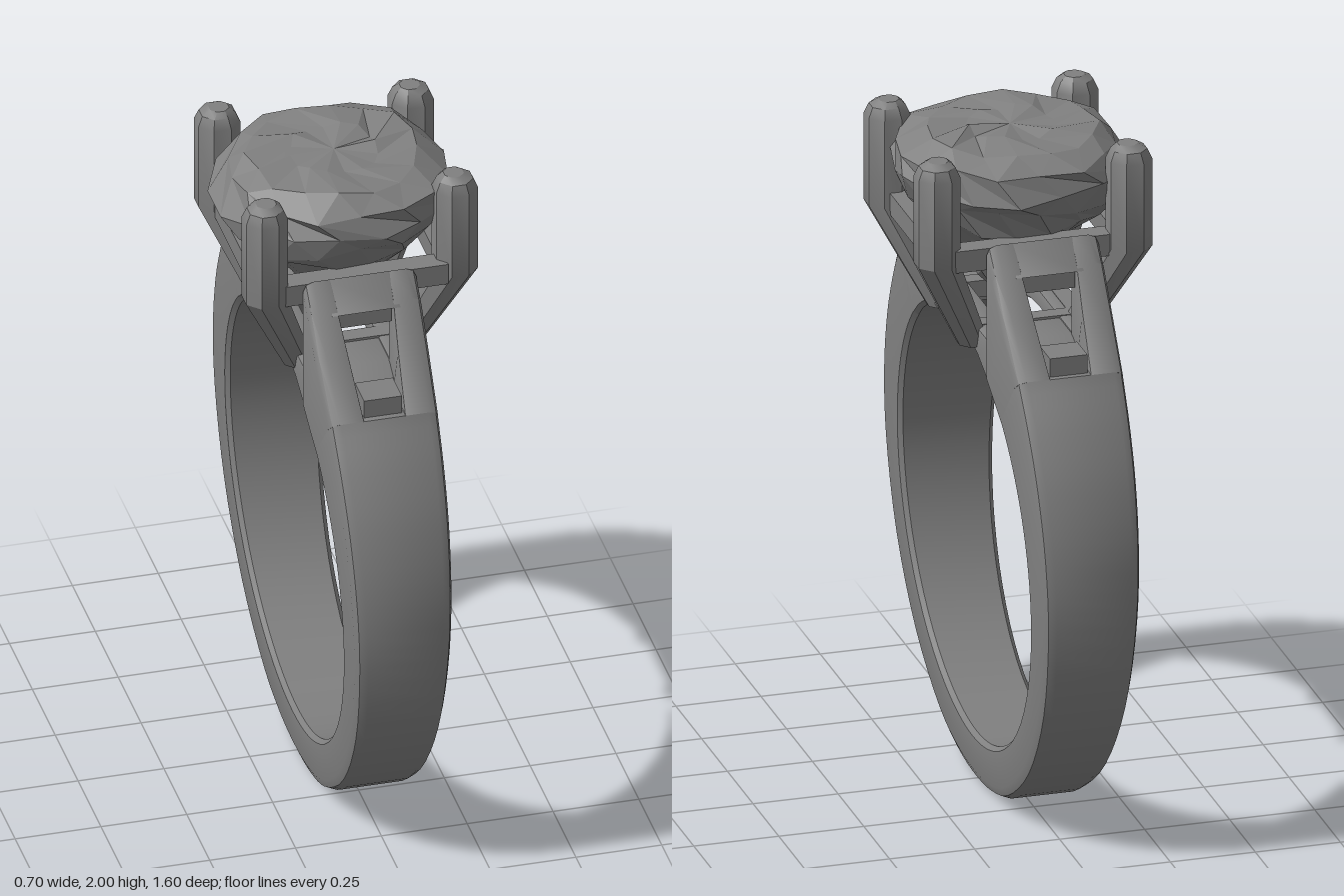
import * as THREE from 'three';
import { toCreasedNormals } from 'three/addons/utils/BufferGeometryUtils.js';

const CY = 0.775, INNER = 0.632, OFFSET = -0.01; // finger hole and band offset

// Skin a list of equal-length rings of points, capping both ends.
function skin(rings, crease) {
  const n = rings[0].length, pos = [], idx = [];
  const ringStart = (ring) => {
    const start = pos.length / 3;
    ring.forEach((p) => pos.push(...p));
    return start;
  };
  rings.forEach(ringStart);
  for (let i = 0; i < rings.length - 1; i++) {
    for (let j = 0; j < n; j++) {
      const a = i * n + j, b = i * n + (j + 1) % n;
      idx.push(a, b, a + n, b, b + n, a + n);
    }
  }
  [0, rings.length - 1].forEach((r) => {
    const centre = [0, 1, 2].map((k) => rings[r].reduce((s, p) => s + p[k], 0) / n);
    const c = ringStart([centre]);
    for (let j = 0; j < n; j++) {
      const a = r * n + j, b = r * n + (j + 1) % n;
      if (r) idx.push(c, a, b); else idx.push(c, b, a);
    }
  });
  const g = new THREE.BufferGeometry();
  g.setAttribute('position', new THREE.Float32BufferAttribute(pos, 3));
  g.setIndex(idx);
  return toCreasedNormals(g, crease);
}

// Band half-width grows slowly with height.
const halfWidth = (y) => 0.115 + 0.05 * Math.min(1, Math.max(0, y) / 1.6);

// Point of the finger hole, by direction or by z.
function holeAt(z, y) {
  const a = Math.atan2(y - CY, z);
  return [INNER * Math.cos(a), CY + INNER * Math.sin(a)];
}
const holeTop = (z) => [z, CY + Math.sqrt(INNER * INNER - z * z)];

// Cross-section between an inner and an outer [z, y], from xa to xb, with
// rounded outer corners of size ca and cb.
function section(inner, outer, xa, xb, ca = 0.002, cb = ca) {
  const len = Math.hypot(outer[0] - inner[0], outer[1] - inner[1]);
  const at = (x, d) => {
    const t = d / len;
    return [x + OFFSET, inner[1] + (outer[1] - inner[1]) * t, inner[0] + (outer[0] - inner[0]) * t];
  };
  const a = Math.min(ca, len * 0.4), b = Math.min(cb, len * 0.4), ia = a * 0.4, ib = b * 0.4;
  return [
    at(xa, ia), at(xa, len - a), at(xa + a * 0.3, len - a * 0.3), at(xa + a, len),
    at(xb - b, len), at(xb - b * 0.3, len - b * 0.3), at(xb, len - b), at(xb, ib),
    at(xb - ib, 0), at(xa + ia, 0),
  ];
}

function seeded(seed) {
  return () => {
    seed = (seed * 16807) % 2147483647;
    return seed / 2147483647 - 0.5;
  };
}

export function createModel() {
  const model = new THREE.Group();
  model.name = 'ring';
  const metal = new THREE.MeshStandardMaterial({ color: 0x808080 });
  metal.name = 'grey metal';
  const add = (name, geometry, parent = model) => {
    const mesh = new THREE.Mesh(geometry, metal);
    mesh.name = name;
    parent.add(mesh);
    return mesh;
  };

  // Band, from one slot round the bottom to the other
  const half = [[0.16, 0.014], [0.32, 0.063], [0.55, 0.225], [0.72, 0.47], [0.795, 0.75],
    [0.79, 0.96], [0.737, 1.156], [0.66, 1.31], [0.575, 1.435]];
  const outline = [...half.map(([z, y]) => [-z, y]).reverse(), [0, 0], ...half];
  const curve = new THREE.CatmullRomCurve3(outline.map(([z, y]) => new THREE.Vector3(0, y, z)));
  add('band', skin(curve.getPoints(72).map((p) => {
    const w = halfWidth(p.y);
    return section(holeAt(p.z, p.y), [p.z, Math.max(0, p.y)], -w, w, 0.032);
  }), 0.7));

  // Shoulders with a slot between two side walls
  const wall = [
    [holeAt(0.575, 1.435), [0.575, 1.435], 0.06],
    [holeTop(0.36), [0.45, 1.575], 0.072],
    [holeTop(0.325), [0.36, 1.685], 0.082],
    [holeTop(0.3), [0.3, 1.745], 0.085],
  ];
  for (const turn of [0, Math.PI]) {
    const shoulder = new THREE.Group();
    shoulder.name = turn ? 'backShoulder' : 'frontShoulder';
    shoulder.rotation.y = turn;
    shoulder.position.x = turn ? 2 * OFFSET : 0;
    model.add(shoulder);
    add('leftWall', skin(wall.map(([i, o, s]) =>
      section(i, o, s, halfWidth(o[1]), 0.002, 0.03)), 0.7), shoulder);
    add('rightWall', skin(wall.map(([i, o, s]) =>
      section(i, o, -halfWidth(o[1]), -s, 0.03, 0.002)), 0.7), shoulder);
    add('slotFloor', skin([
      [holeAt(0.575, 1.435), [0.575, 1.435]], [holeTop(0.39), [0.45, 1.43]],
      [holeTop(0.3), [0.3, 1.45]], [holeTop(0.15), [0.15, 1.45]],
    ].map(([i, o]) => section(i, o, -0.09, 0.09)), 0.5), shoulder);
    // Frame across the top of the slot, and the bars inside it
    add('slotTop', skin([
      [[0.32, 1.65], [0.375, 1.668]], [[0.29, 1.68], [0.3, 1.745]],
    ].map(([i, o]) => section(i, o, -0.1, 0.1)), 0.5), shoulder);
    const step = add('slotStep', new THREE.BoxGeometry(0.11, 0.07, 0.1), shoulder);
    step.position.set(OFFSET, 1.455, 0.505);
    const bar = add('slotBar', new THREE.BoxGeometry(0.16, 0.05, 0.05), shoulder);
    bar.position.set(OFFSET, 1.635, 0.325);
  }

  // Bridge under the head, open in the middle
  for (const s of [-1, 1]) {
    const stations = [0.302, 0.2, 0.1, 0, -0.1, -0.2, -0.302].map((z) => {
      const w = halfWidth(1.45), x = [s * 0.085, s * w].sort((a, b) => a - b);
      return section(holeTop(z), [z, 1.455], x[0], x[1], 0.008);
    });
    add(s > 0 ? 'leftBridge' : 'rightBridge', skin(stations, 0.5));
  }

  // Four prongs: sloping foot, upright claw, blunt tip
  const prongs = { frontLeft: [0.285, 0.235], frontRight: [-0.275, 0.26],
    backLeft: [0.285, -0.25], backRight: [-0.272, -0.275] };
  for (const [name, [px, pz]] of Object.entries(prongs)) {
    const foot = [Math.sign(px) * 0.15, Math.sign(pz) * 0.15];
    const rings = [[1.395, 0.046, 0], [1.69, 0.066, 1], [1.955, 0.066, 1], [1.985, 0.052, 1], [2, 0.03, 0.97]]
      .map(([y, r, t]) => Array.from({ length: 8 }, (_, k) => {
        const a = (k + 0.5) * Math.PI / 4;
        return [foot[0] + (px - foot[0]) * t + r * Math.sin(a), y,
          foot[1] + (pz - foot[1]) * t + r * Math.cos(a)];
      }));
    add(name + 'Prong', skin(rings, 0.5));
  }

  // Basket rails joining the prongs, above and below
  for (const [label, y, d, size, length] of [['upper', 1.703, 0.262, 0.065, 0.5], ['lower', 1.432, 0.155, 0.05, 0.3]]) {
    for (const s of [-1, 1]) {
      add(label + 'SideRail', new THREE.BoxGeometry(size, size, length)).position.set(s * d, y, 0);
      add(label + 'CrossRail', new THREE.BoxGeometry(length, size, size)).position.set(0, y, s * d);
    }
  }

  // Rough-cut gem with uneven facets
  const rand = seeded(4711), SIDES = 16;
  const profile = [[0.015, 1.465], [0.085, 1.54], [0.14, 1.65], [0.24, 1.74], [0.3, 1.81],
    [0.325, 1.87], [0.3, 1.935], [0.235, 1.978], [0.12, 1.985]];
  const gem = profile.map(([r, y], i) => Array.from({ length: SIDES }, (_, k) => {
    const a = (k + (i % 2) * 0.5) / SIDES * Math.PI * 2;
    const cushion = Math.pow(Math.abs(Math.sin(a)) ** 2.3 + Math.abs(Math.cos(a)) ** 2.3, -1 / 2.3);
    const rr = r * cushion * (1 + rand() * 0.13);
    const lift = rand() * (i > 6 ? 0.022 : 0.035);
    return [-0.005 + 1.03 * rr * Math.sin(a), y + lift, rr * Math.cos(a)];
  }));
  add('gem', skin(gem, 0.02));

  return model;
}
